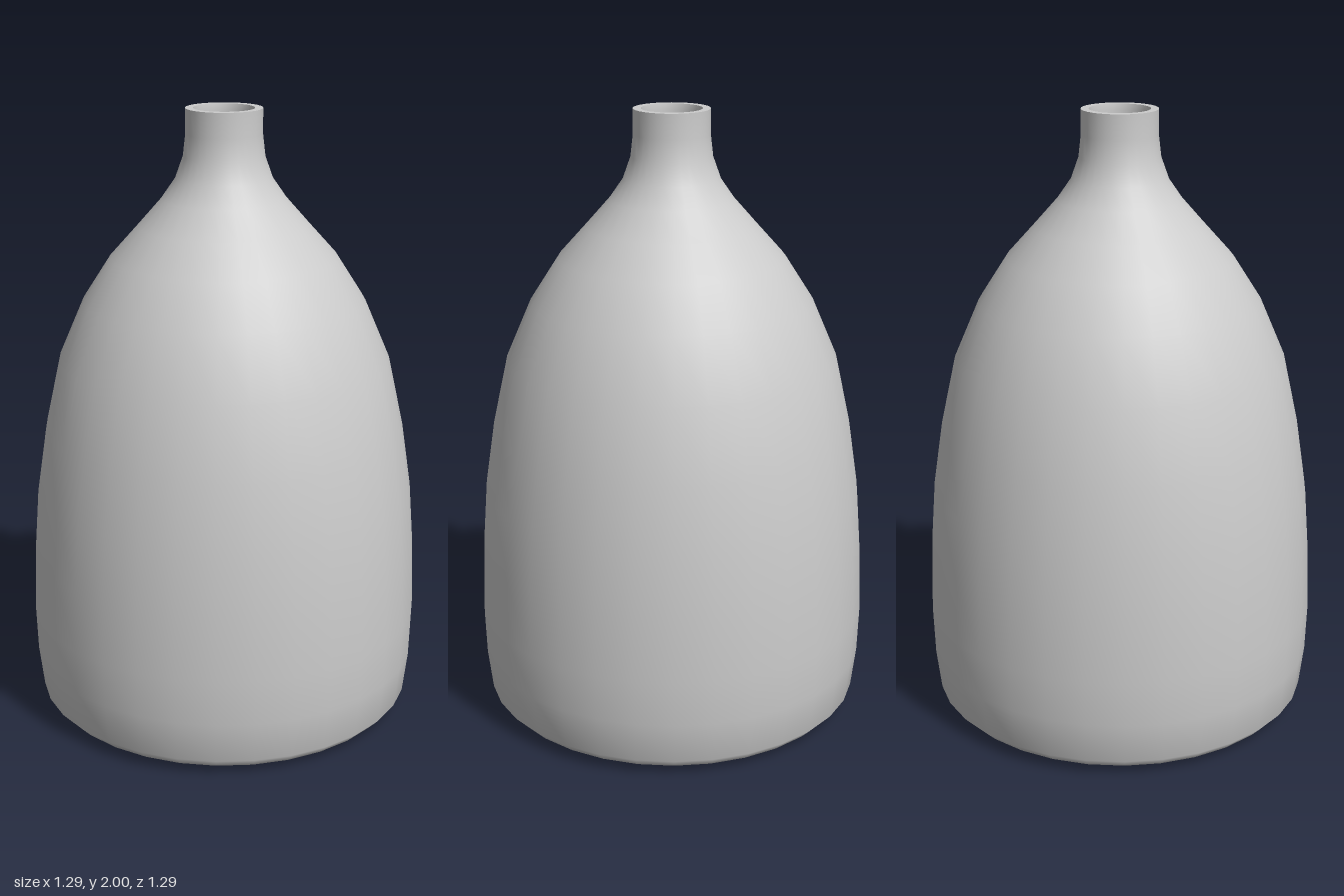
import * as THREE from 'three';

const SIDES = 32;
const material = new THREE.MeshStandardMaterial({ color: 0xcccccc });

// Revolve a list of [radius, height] points around the y axis
function turned(name, profile) {
  const points = profile.map(([r, y]) => new THREE.Vector2(r, y));
  const mesh = new THREE.Mesh(new THREE.LatheGeometry(points, SIDES), material);
  mesh.name = name;
  return mesh;
}

export function createModel() {
  const group = new THREE.Group();
  group.name = 'bottleVase';

  // Outer skin: base, rounded foot, tapering body, shoulder and neck
  group.add(turned('body', [
    [0, 0], [0.35, 0.003], [0.52, 0.01], [0.59, 0.022], [0.622, 0.055], [0.638, 0.19],
    [0.643, 0.34], [0.636, 0.55], [0.62, 0.76], [0.588, 0.97], [0.537, 1.2],
    [0.455, 1.39], [0.365, 1.53], [0.275, 1.63], [0.2, 1.715], [0.155, 1.78],
    [0.13, 1.85], [0.122, 1.92], [0.122, 2],
  ]));

  // Flat lip around the mouth
  group.add(turned('lip', [[0.122, 2], [0.097, 2]]));

  // Hollow of the neck, closed by a rounded floor
  group.add(turned('mouthHollow', [
    [0.097, 2], [0.094, 1.98], [0.093, 1.85], [0.085, 1.77], [0.055, 1.73], [0, 1.715],
  ]));

  return group;
}
